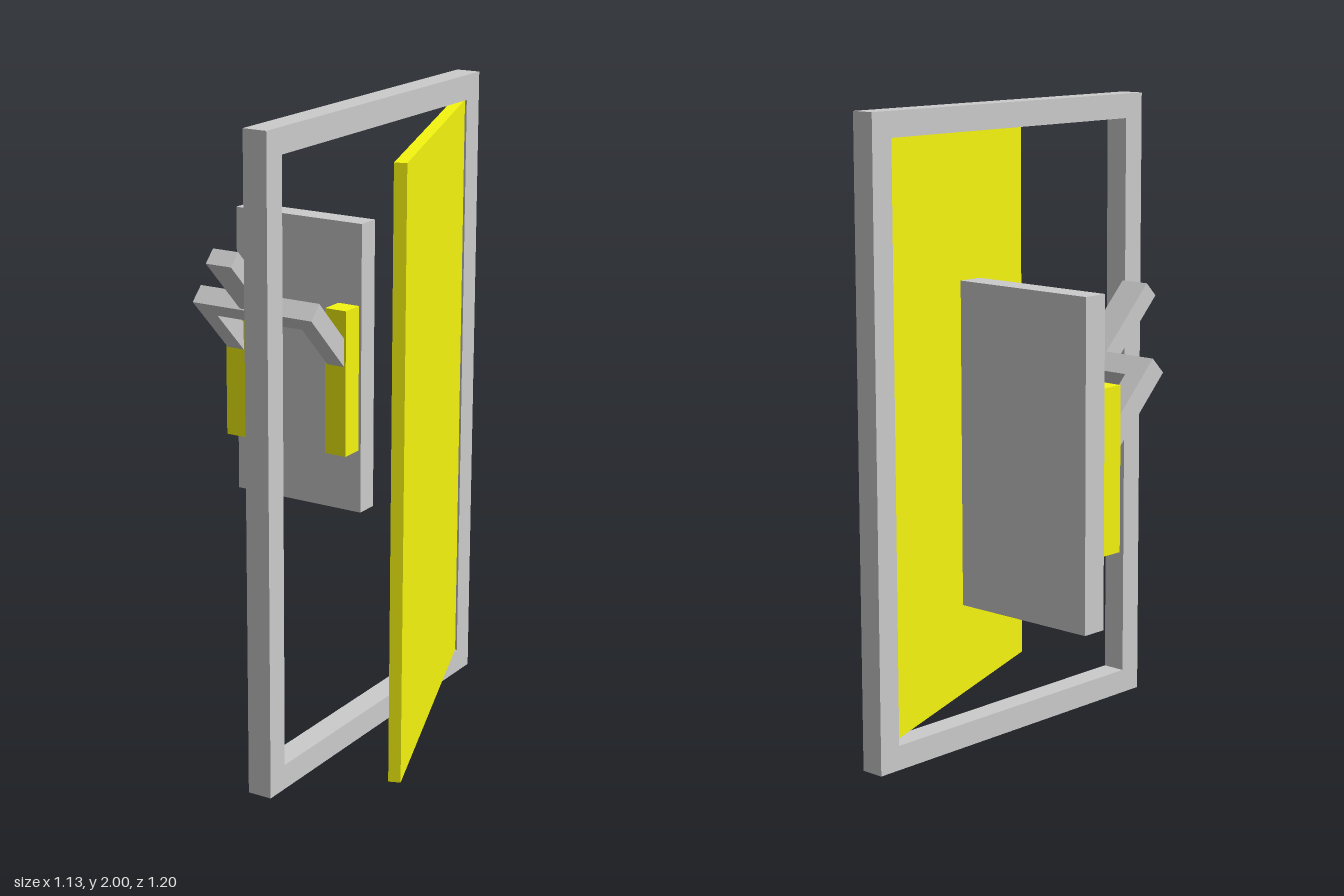
import * as THREE from 'three';

const grey = new THREE.MeshStandardMaterial({ color: 0xcccccc });
const yellow = new THREE.MeshStandardMaterial({ color: 0xf5f510 });

// Box given by its size and centre
function box(parent, name, material, size, centre) {
  const mesh = new THREE.Mesh(new THREE.BoxGeometry(...size), material);
  mesh.position.set(...centre);
  mesh.name = name;
  parent.add(mesh);
  return mesh;
}

export function createModel() {
  const model = new THREE.Group();
  model.name = 'doorAndHandle';

  // Rectangular door frame, standing in the yz plane
  const outline = new THREE.Shape([[-0.6, 0], [0.6, 0], [0.6, 2], [-0.6, 2]].map(p => new THREE.Vector2(...p)));
  outline.holes.push(new THREE.Path([[-0.523, 0.078], [-0.523, 1.922], [0.523, 1.922], [0.523, 0.078]].map(p => new THREE.Vector2(...p))));
  const frame = new THREE.Mesh(new THREE.ExtrudeGeometry(outline, { depth: 0.078, bevelEnabled: false }), grey);
  frame.rotation.y = Math.PI / 2;
  frame.position.x = 0.13;
  frame.name = 'doorFrame';
  model.add(frame);

  // Door panel, hinged at the back of the frame and swung open
  const hinge = new THREE.Group();
  hinge.name = 'doorHinge';
  hinge.position.set(0.2, 0, -0.527);
  hinge.rotation.y = Math.atan2(0.36, 0.967);
  box(hinge, 'doorPanel', yellow, [0.037, 1.844, 1.032], [-0.0185, 1, 0.516]);
  model.add(hinge);

  // Mounting plate of the separate handle
  box(model, 'mountingPlate', grey, [0.482, 0.97, 0.08], [-0.325, 1.035, -0.42]);

  // Tilted fork: crossbar, two arms and a stem
  const fork = new THREE.Group();
  fork.name = 'handleFork';
  fork.position.set(-0.325, 1.26, -0.152);
  fork.rotation.x = -Math.PI / 4;
  box(fork, 'crossbar', grey, [0.452, 0.066, 0.066], [0, 0, 0]);
  box(fork, 'stem', grey, [0.094, 0.057, 0.293], [0.002, 0, 0.1465]);
  model.add(fork);

  for (const side of [-1, 1]) {
    const label = side > 0 ? 'left' : 'right';
    box(fork, label + 'Arm', grey, [0.064, 0.066, 0.212], [side * 0.194, 0, -0.139]);
    box(model, label + 'Block', yellow, [0.078, 0.487, 0.08], [-0.325 + side * 0.193, 1.007, -0.34]);
  }
  return model;
}
